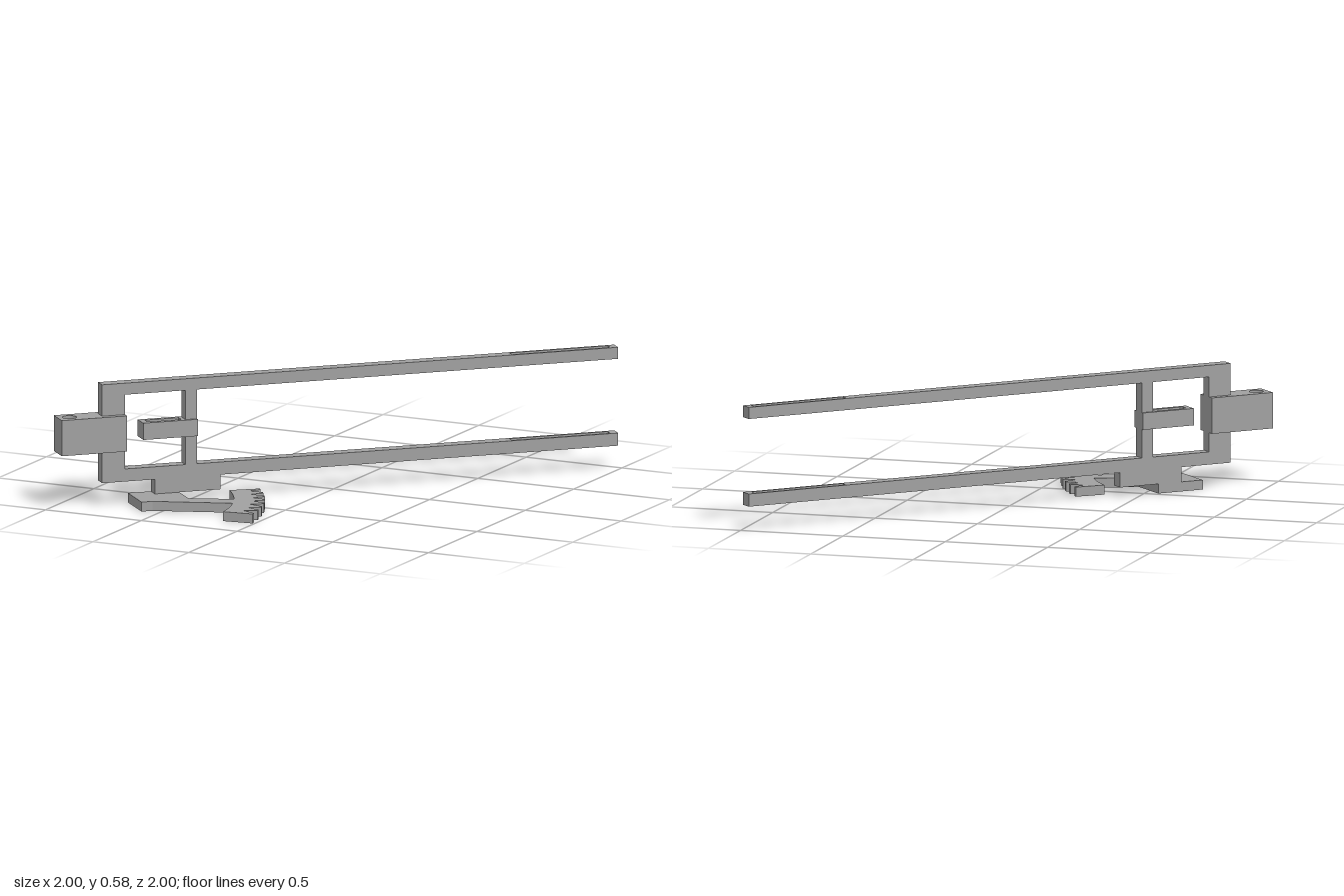
import * as THREE from 'three';

const grey = new THREE.MeshStandardMaterial({ color: 0xa0a0a0 });
grey.name = 'grey plastic';

// Rectangle outline; u runs along the fork, v across it
function rect(u0, u1, v0, v1, Type = THREE.Shape) {
  const s = new Type();
  s.moveTo(u0, v0);
  s.lineTo(u1, v0);
  s.lineTo(u1, v1);
  s.lineTo(u0, v1);
  s.closePath();
  return s;
}

// Flat plan outline raised from y0 to y1
function slab(name, shape, y0, y1) {
  const geo = new THREE.ExtrudeGeometry(shape, { depth: y1 - y0, bevelEnabled: false, curveSegments: 16 });
  geo.rotateX(-Math.PI / 2);
  geo.translate(0, y0, 0);
  const mesh = new THREE.Mesh(geo, grey);
  mesh.name = name;
  return mesh;
}

const PIVOT = -1.297; // hinge hole position along the fork

// Hub, spoke and toothed sector in one outline
function gearShape() {
  const pts = [[-1.0, 0.03], [-0.767, 0.03], [-0.767, -0.166]];
  const polar = (r, deg) => {
    const a = THREE.MathUtils.degToRad(deg);
    pts.push([PIVOT + r * Math.cos(a), r * Math.sin(a)]);
  };
  const inner = 0.767, root = 0.853, tip = 0.912;
  const top = -4.6, bottom = -39, teeth = 8;
  for (let i = 0; i <= 4; i++) polar(inner, THREE.MathUtils.lerp(-18.6, top, i / 4));
  const pitch = (top - bottom - 1.4) / (teeth - 1);
  for (let i = 0; i < teeth; i++) {
    const a = top - i * pitch;
    polar(tip, a);
    polar(tip, a - 1.3);
    if (i < teeth - 1) polar(root, a - 0.55 * pitch);
  }
  for (let i = 0; i <= 4; i++) polar(inner, THREE.MathUtils.lerp(bottom, -25.4, i / 4));
  pts.push([-0.947, -0.174], [-1.0, -0.174]);
  return new THREE.Shape(pts.map(([x, y]) => new THREE.Vector2(x, y)));
}

export function createModel() {
  const model = new THREE.Group();
  model.name = 'forkLever';
  model.rotation.y = Math.PI / 4;

  // Two long prongs, each with a slot near the tip
  for (const [name, y0, y1] of [['lowerProng', 0.115, 0.175], ['upperProng', 0.53, 0.585]]) {
    const prong = rect(-1.146, 1.386, -0.03, 0.03);
    prong.holes.push(rect(0.868, 1.35, -0.016, 0.016, THREE.Path));
    model.add(slab(name, prong, y0, y1));
  }

  // Uprights joining the prongs
  model.add(slab('endUpright', rect(-1.146, -1.034, -0.03, 0.03), 0.175, 0.53));
  model.add(slab('post', rect(-0.738, -0.68, -0.03, 0.03), 0.175, 0.53));

  // Hinge block with a vertical pin hole
  const block = rect(-1.354, -1.034, -0.06, 0.06);
  const hole = new THREE.Path();
  hole.absarc(PIVOT, 0, 0.033, 0, Math.PI * 2, true);
  block.holes.push(hole);
  model.add(slab('hingeBlock', block, 0.265, 0.435));

  // Slotted lug on the post
  const lug = rect(-0.948, -0.68, -0.042, 0.042);
  lug.holes.push(rect(-0.92, -0.755, -0.018, 0.018, THREE.Path));
  model.add(slab('slottedLug', lug, 0.31, 0.39));

  // Foot under the lower prong and the toothed sector below it
  model.add(slab('foot', rect(-0.887, -0.566, -0.03, 0.03), 0.045, 0.115));
  model.add(slab('gearSector', gearShape(), 0, 0.045));

  const root = new THREE.Group();
  root.add(model);
  return root;
}
